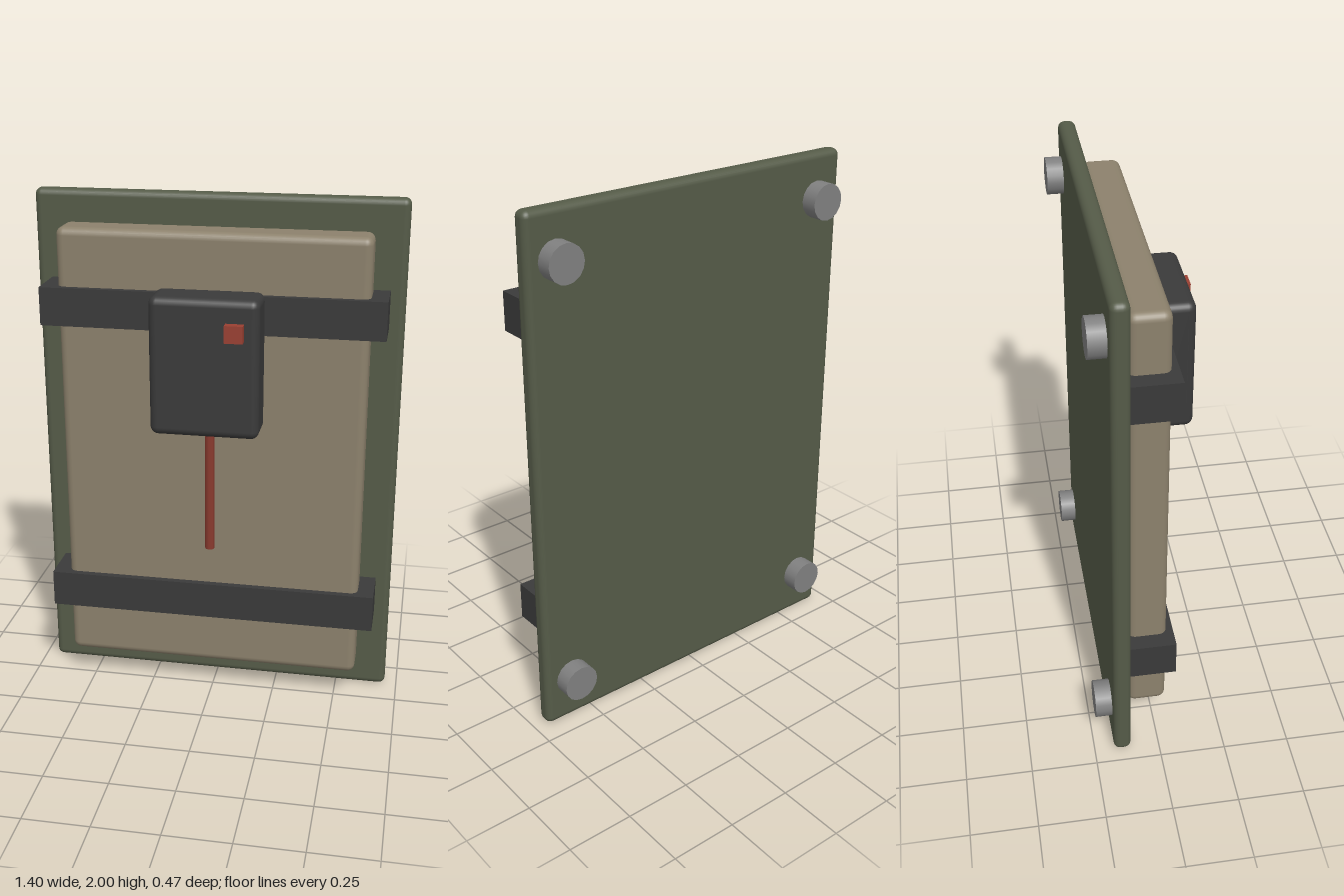
import * as THREE from 'three';
import { RoundedBoxGeometry } from 'three/addons/geometries/RoundedBoxGeometry.js';

const material = (name, color) => {
  const m = new THREE.MeshStandardMaterial({ color });
  m.name = name;
  return m;
};

export function createModel() {
  const group = new THREE.Group();
  const olive = material('olive plate', 0x555b48);
  const tan = material('tan block', 0x8c816c);
  const black = material('charcoal', 0x3a3a3a);
  const grey = material('grey metal', 0x808080);
  const red = material('red', 0x9a4032);
  const cordRed = material('dark red cord', 0x8a3a2e);

  const add = (name, geometry, mat, x, y, z) => {
    const mesh = new THREE.Mesh(geometry, mat);
    mesh.name = name;
    mesh.position.set(x, y, z);
    group.add(mesh);
    return mesh;
  };

  // Backing plate and the padded block it carries
  add('backPlate', new RoundedBoxGeometry(1.405, 2, 0.066, 3, 0.025), olive, 0, 1, -0.142);
  add('block', new RoundedBoxGeometry(1.165, 1.755, 0.147, 3, 0.03), tan, 0, 1.007, -0.029);

  // Straps across the block
  for (const [name, y] of [['upperStrap', 1.592], ['lowerStrap', 0.417]]) {
    add(name, new THREE.BoxGeometry(1.29, 0.145, 0.18), black, 0, y, -0.02);
  }

  // Control unit with its button and hanging cord
  add('controlUnit', new RoundedBoxGeometry(0.406, 0.522, 0.165, 3, 0.03), black, 0, 1.418, 0.119);
  add('button', new THREE.BoxGeometry(0.068, 0.064, 0.045), red, 0.115, 1.563, 0.212);
  add('cord', new THREE.CylinderGeometry(0.019, 0.019, 0.56, 8), cordRed, 0, 0.93, 0.065);

  // Round feet on the rear corners
  for (const x of [-0.586, 0.586]) {
    for (const y of [0.18, 1.825]) {
      add('rearFoot', new THREE.CylinderGeometry(0.07, 0.07, 0.075, 16), grey, x, y, -0.2)
        .rotation.x = Math.PI / 2;
    }
  }
  return group;
}
